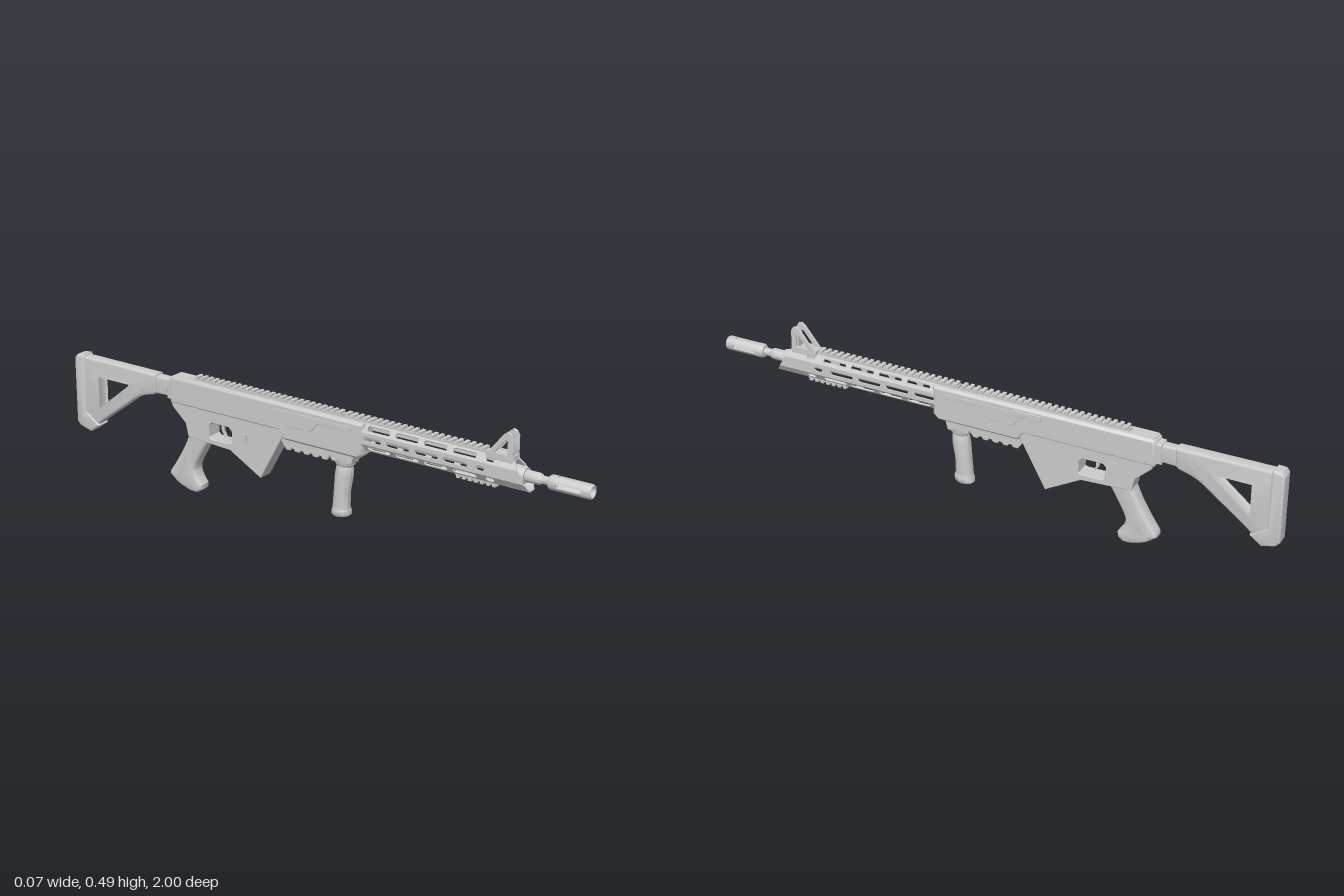
import * as THREE from 'three';
import { mergeGeometries, toCreasedNormals } from 'three/addons/utils/BufferGeometryUtils.js';

const mat = new THREE.MeshStandardMaterial({ color: 0xcccccc, side: THREE.DoubleSide });
const BORE = 0.358;

export function createModel() {
  const model = new THREE.Group();
  const add = (name, geo, crease = 0.6) => {
    const m = new THREE.Mesh(toCreasedNormals(geo, crease), mat);
    m.name = name;
    model.add(m);
    return m;
  };
  const vecs = pts => pts.map(p => new THREE.Vector2(p[0], p[1]));
  const smooth = (pts, n = 24) => new THREE.SplineCurve(vecs(pts)).getPoints(n).map(p => [p.x, p.y]);

  // Extrude a side profile of [z, y] points from x0 to x1
  const sideGeo = (pts, x0, x1, bevel = 0, holes = [], segs = 1) => {
    const s = new THREE.Shape(vecs(pts));
    holes.forEach(h => s.holes.push(new THREE.Path(vecs(h))));
    const g = new THREE.ExtrudeGeometry(s, {
      depth: x1 - x0 - 2 * bevel, bevelEnabled: bevel > 0, bevelThickness: bevel,
      bevelSize: bevel, bevelOffset: -bevel, bevelSegments: segs, steps: 1,
    });
    return g.rotateY(-Math.PI / 2).translate(x1 - bevel, 0, 0);
  };
  const side = (name, pts, x0, x1, bevel, holes, segs) => add(name, sideGeo(pts, x0, x1, bevel, holes, segs));
  const box = (w, h, d, x, y, z) => new THREE.BoxGeometry(w, h, d).translate(x, y, z);
  // Turned part along z from [radius, z] points
  const turned = (name, pts, n = 24) => add(name,
    new THREE.LatheGeometry(vecs(pts), n).rotateX(Math.PI / 2).translate(0, BORE, 0));

  // Barrel
  turned('barrel', [[0.009, 0.88], [0.015, 0.88], [0.016, 0.865], [0.013, 0.855], [0.013, 0.83], [0.017, 0.825],
    [0.019, 0.815], [0.019, 0.765], [0.014, 0.755], [0.014, 0.15]]);
  turned('handguardCollar', [[0.014, 0.775], [0.025, 0.775], [0.028, 0.765], [0.028, 0.735], [0.014, 0.735]]);

  // Slotted muzzle device: end rings joined by four bars
  turned('muzzleRear', [[0.012, 0.875], [0.012, 0.855], [0.02, 0.855], [0.024, 0.862], [0.024, 0.885], [0.016, 0.885], [0.012, 0.875]]);
  turned('muzzleFront', [[0.016, 0.97], [0.024, 0.97], [0.024, 0.994], [0.021, 1.0], [0.017, 1.0], [0.016, 0.97]]);
  const bars = [];
  for (let i = 0; i < 4; i++) {
    const a = Math.PI / 4 + i * Math.PI / 2, h = 0.5, s = new THREE.Shape();
    s.absarc(0, 0, 0.0238, a - h, a + h, false);
    s.absarc(0, 0, 0.0165, a + h, a - h, true);
    bars.push(new THREE.ExtrudeGeometry(s, { depth: 0.1, bevelEnabled: false, curveSegments: 6 }).translate(0, BORE, 0.878));
  }
  add('muzzleBars', mergeGeometries(bars));

  // Handguard: eight slotted panels around an octagon, front cut at a slant
  const oct = [[0.031, -0.02], [0.031, 0.02], [0.014, 0.047], [-0.014, 0.047],
    [-0.031, 0.02], [-0.031, -0.02], [-0.014, -0.046], [0.014, -0.046]];
  const frontZ = y => 0.768 - y * 0.6;
  const slot = (z, w, len, r) => {
    const p = new THREE.Path(), d = Math.max(len / 2 - r, 0.0005);
    p.absarc(z - d, w, r, -Math.PI / 2, Math.PI / 2, true);
    p.absarc(z + d, w, r, Math.PI / 2, -Math.PI / 2, true);
    return p;
  };
  const panels = oct.map((P, i) => {
    const Q = oct[(i + 1) % 8], len = Math.hypot(Q[0] - P[0], Q[1] - P[1]);
    const t = [(Q[0] - P[0]) / len, (Q[1] - P[1]) / len];
    const s = new THREE.Shape(vecs([[0.17, 0], [frontZ(P[1]), 0], [frontZ(Q[1]), len], [0.17, len]]));
    if (i !== 2) {
      const shift = i % 2 ? 0.03 : 0;
      for (let k = 0; k < 4; k++) s.holes.push(slot(0.54 + shift - k * 0.105, len / 2, 0.085, 0.0085));
      s.holes.push(slot(0.63 + shift, len / 2, 0.03, 0.0085));
    }
    const g = new THREE.ExtrudeGeometry(s, { depth: 0.005, bevelEnabled: false, curveSegments: 8 });
    const m = new THREE.Matrix4().makeBasis(new THREE.Vector3(0, 0, 1),
      new THREE.Vector3(t[0], t[1], 0), new THREE.Vector3(-t[1], t[0], 0));
    m.setPosition(P[0], BORE + P[1], 0);
    return g.applyMatrix4(m);
  });
  add('handguard', mergeGeometries(panels), 0.4);

  // Toothed rails above and below
  const rail = (name, z0, z1, y, dir) => {
    const parts = [box(0.026, 0.011, z0 - z1, 0, y, (z0 + z1) / 2)];
    const n = Math.round((z0 - z1) / 0.0225);
    for (let i = 0; i < n; i++)
      parts.push(box(0.03, 0.009, 0.012, 0, y + dir * 0.009, z0 - (i + 0.5) * (z0 - z1) / n));
    add(name, mergeGeometries(parts));
  };
  rail('topRailFront', 0.64, 0.115, 0.407, 1);
  rail('topRailRear', 0.108, -0.485, 0.407, 1);
  rail('lowerRail', 0.68, 0.53, 0.313, -1);

  // Front sight
  const ear = [[0.735, 0.395], [0.735, 0.475], [0.727, 0.488], [0.715, 0.492], [0.703, 0.483], [0.645, 0.41], [0.645, 0.395]];
  const earHole = [[0.718, 0.418], [0.718, 0.462], [0.71, 0.465], [0.673, 0.418]];
  for (const s of [-1, 1]) side('sightEar', ear, s * 0.018 - 0.004, s * 0.018 + 0.004, 0.001, [earHole]);
  add('sightBase', box(0.04, 0.016, 0.095, 0, 0.407, 0.69));
  side('sightBlock', [[0.732, 0.4], [0.732, 0.437], [0.722, 0.46], [0.712, 0.46], [0.712, 0.4]], -0.014, 0.014, 0.001);
  add('sightPost', new THREE.CylinderGeometry(0.0012, 0.002, 0.02, 8).translate(0, 0.467, 0.717));

  // Receiver: wide upper with chamfered edges
  side('upperReceiver', [[0.2, 0.405], [0.2, 0.3], [0.182, 0.283], [-0.108, 0.283], [-0.13, 0.31],
    [-0.578, 0.31], [-0.58, 0.395], [-0.57, 0.406]], -0.032, 0.032, 0.008);
  const raised = [[0.165, 0.385], [0.15, 0.37], [0.03, 0.37], [0.0, 0.335], [-0.09, 0.335],
    [-0.125, 0.37], [-0.15, 0.385]];
  for (const s of [-1, 1]) side('upperPanel', raised, s * 0.0315 - 0.002, s * 0.0315 + 0.002, 0.001);

  // Lower receiver: two cheeks around a core that leaves the well open
  const well = [[-0.22, 0.133], [-0.19, 0.186], [-0.283, 0.237], [-0.312, 0.185]];
  const lower = open => [[-0.09, 0.325], [-0.1, 0.318], [-0.205, 0.125], ...(open ? well : []), [-0.33, 0.195],
    [-0.43, 0.2], [-0.505, 0.205], [-0.515, 0.25], [-0.57, 0.3], [-0.575, 0.325]];
  const guardHole = [[-0.322, 0.222], [-0.322, 0.262], [-0.335, 0.275], [-0.405, 0.275], [-0.415, 0.265],
    [-0.415, 0.225], [-0.405, 0.217], [-0.33, 0.217]];
  side('lowerCore', lower(true), -0.019, 0.019, 0, [guardHole]);
  for (const s of [-1, 1]) side('lowerCheek', lower(false), s * 0.0215 - 0.007, s * 0.0215 + 0.007, 0.002, [guardHole]);
  side('trigger', smooth([[-0.365, 0.28], [-0.372, 0.25], [-0.362, 0.23]], 8)
    .concat(smooth([[-0.369, 0.228], [-0.382, 0.25], [-0.38, 0.28]], 8)), -0.005, 0.005, 0.001);

  // Small controls and side port
  const pin = (name, z, y, r, x0, x1) => add(name,
    new THREE.CylinderGeometry(r, r, x1 - x0, 16).rotateZ(Math.PI / 2).translate((x0 + x1) / 2, y, z));
  pin('frontPin', -0.16, 0.27, 0.007, -0.03, 0.03);
  pin('rearPin', -0.47, 0.27, 0.007, -0.03, 0.03);
  add('releaseButton', box(0.01, 0.026, 0.02, -0.029, 0.254, -0.27));
  add('selector', box(0.006, 0.01, 0.035, 0.029, 0.285, -0.44).rotateX(0));
  side('sidePort', [[-0.09, 0.392], [-0.09, 0.372], [-0.19, 0.372], [-0.19, 0.392]], 0.028, 0.035, 0.001,
    [[[-0.096, 0.388], [-0.096, 0.376], [-0.184, 0.376], [-0.184, 0.388]]]);

  // Scalloped underside between foregrip and well
  const scallops = [[0.16, 0.29], [0.15, 0.252], [0.075, 0.252], [0.07, 0.268]];
  for (let i = 0; i < 5; i++) {
    const z = 0.062 - i * 0.036;
    scallops.push([z, 0.256], [z - 0.006, 0.248], [z - 0.022, 0.248], [z - 0.028, 0.256]);
  }
  scallops.push([-0.12, 0.27], [-0.13, 0.29]);
  side('underRail', scallops, -0.024, 0.024, 0.002);

  // Foregrip: stacked ellipses [y, centre z, x radius, z radius]
  const rings = [[0.265, 0.113, 0.027, 0.036], [0.246, 0.113, 0.027, 0.036], [0.238, 0.112, 0.023, 0.028],
    [0.228, 0.112, 0.026, 0.03], [0.205, 0.11, 0.028, 0.032], [0.15, 0.103, 0.026, 0.029], [0.1, 0.1, 0.027, 0.03],
    [0.086, 0.1, 0.027, 0.031], [0.082, 0.1, 0.029, 0.034], [0.067, 0.1, 0.029, 0.035], [0.062, 0.1, 0.025, 0.031], [0.062, 0.1, 0, 0]];
  const N = 28, pos = [], idx = [];
  rings.forEach(([y, zc, rx, rz], j) => {
    for (let i = 0; i < N; i++) {
      const a = i / N * Math.PI * 2, k = (i + 1) % N;
      pos.push(Math.sin(a) * rx, y + (j > 7 ? (Math.cos(a) * rz) * 0.08 : 0), zc + Math.cos(a) * rz);
      if (j) idx.push((j - 1) * N + i, j * N + i, j * N + k, (j - 1) * N + i, j * N + k, (j - 1) * N + k);
    }
  });
  const fg = new THREE.BufferGeometry();
  fg.setAttribute('position', new THREE.Float32BufferAttribute(pos, 3));
  fg.setIndex(idx);
  add('foregrip', fg, 0.7);

  // Rear grip with flared foot
  side('rearGrip', [[-0.415, 0.23], [-0.43, 0.195], ...smooth([[-0.445, 0.17], [-0.482, 0.1], [-0.478, 0.065], [-0.458, 0.035]], 12),
    [-0.46, 0.018], [-0.478, 0.004], ...smooth([[-0.5, 0.003], [-0.55, 0.018], [-0.593, 0.048]], 8),
    ...smooth([[-0.592, 0.06], [-0.565, 0.1], [-0.53, 0.16], [-0.505, 0.215]], 10), [-0.505, 0.24]],
  -0.027, 0.027, 0.014, [], 5);

  // Shoulder stock
  side('stockTube', [[-0.56, 0.388], [-0.56, 0.328], [-0.72, 0.322], [-0.72, 0.388]], -0.017, 0.017, 0.006, [], 3);
  side('receiverEnd', [[-0.56, 0.395], [-0.56, 0.315], [-0.598, 0.32], [-0.598, 0.391]], -0.023, 0.023, 0.004);
  const strut = smooth([[-0.655, 0.32], [-0.72, 0.298], [-0.8, 0.24], [-0.89, 0.172], [-0.92, 0.142]], 16);
  side('stock', [[-0.645, 0.392], [-0.645, 0.33], ...strut, [-0.98, 0.15], [-0.98, 0.394]], -0.023, 0.023, 0.008,
    [[[-0.752, 0.336], [-0.76, 0.322], [-0.9, 0.207], [-0.905, 0.212], [-0.905, 0.336], [-0.9, 0.341], [-0.758, 0.341]]], 3);
  side('buttPad', [[-0.957, 0.39], [-0.957, 0.195], [-0.9, 0.155], [-0.94, 0.124], [-0.988, 0.138], [-1, 0.152],
    [-1, 0.385], [-0.99, 0.398], [-0.963, 0.4]], -0.027, 0.027, 0.007, [], 3);

  return model;
}
